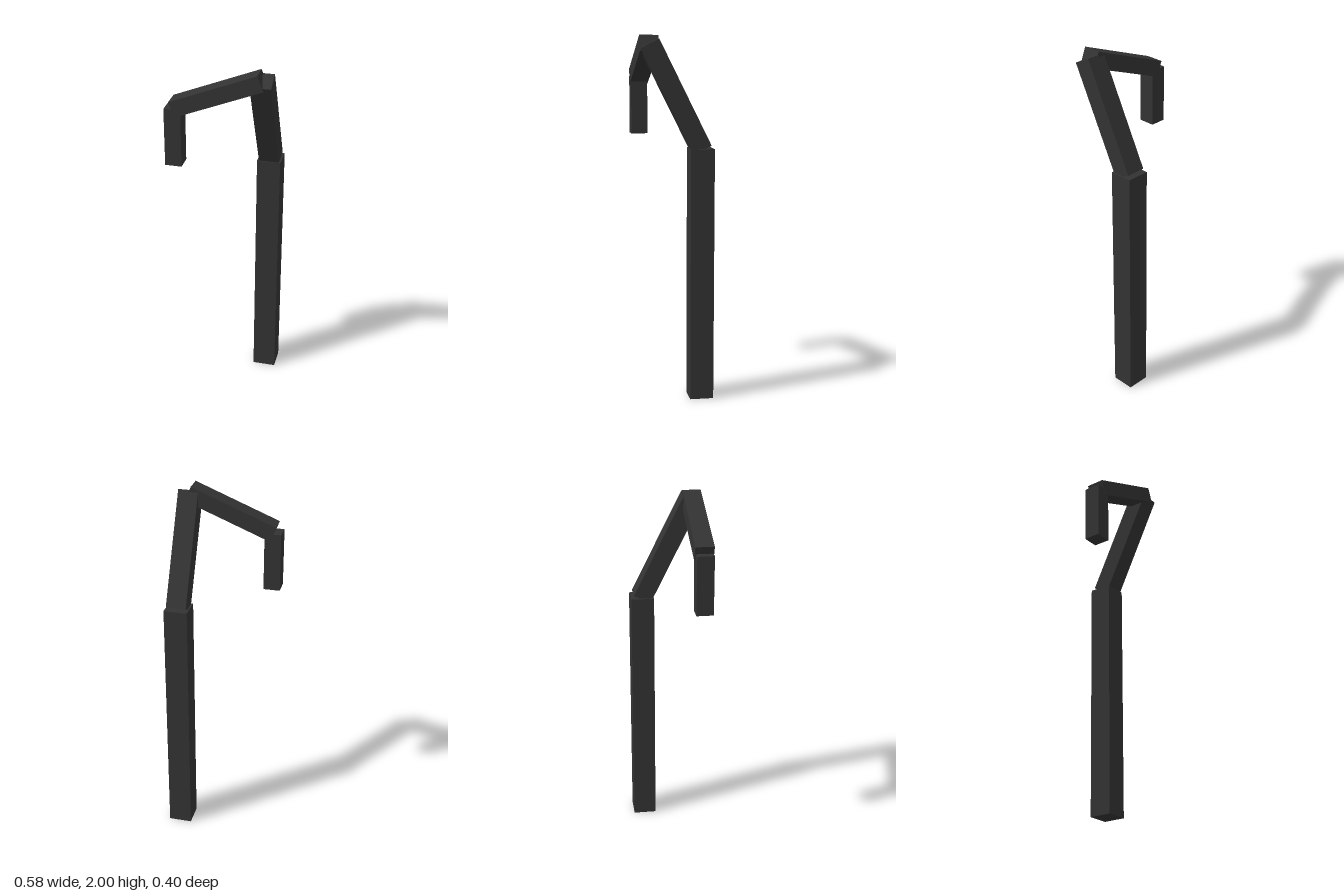
import * as THREE from 'three';

export function createModel() {
  const group = new THREE.Group();
  const charcoal = new THREE.MeshStandardMaterial({ color: 0x333333 });
  charcoal.name = 'charcoal';

  const beam = (name, size, position, rotation = [0, 0, 0]) => {
    const mesh = new THREE.Mesh(new THREE.BoxGeometry(...size), charcoal);
    mesh.name = name;
    mesh.position.set(...position);
    mesh.rotation.set(...rotation);
    group.add(mesh);
  };

  // Upright post standing on the ground
  beam('post', [0.13, 1.395, 0.13], [0.222, 0.6975, -0.135]);
  // Brace leaning forward from the top of the post
  beam('leaningBrace', [0.111, 0.635, 0.105], [0.2225, 1.673, 0.005], [Math.atan(0.5), 0, 0]);
  // Arm sloping down to the side
  beam('slopingArm', [0.505, 0.089, 0.102], [-0.0105, 1.8645, 0.146], [0, 0, 0.382]);
  // Short piece hanging from the end of the arm
  beam('hangingEnd', [0.091, 0.325, 0.093], [-0.2435, 1.6075, 0.1465]);

  return group;
}
